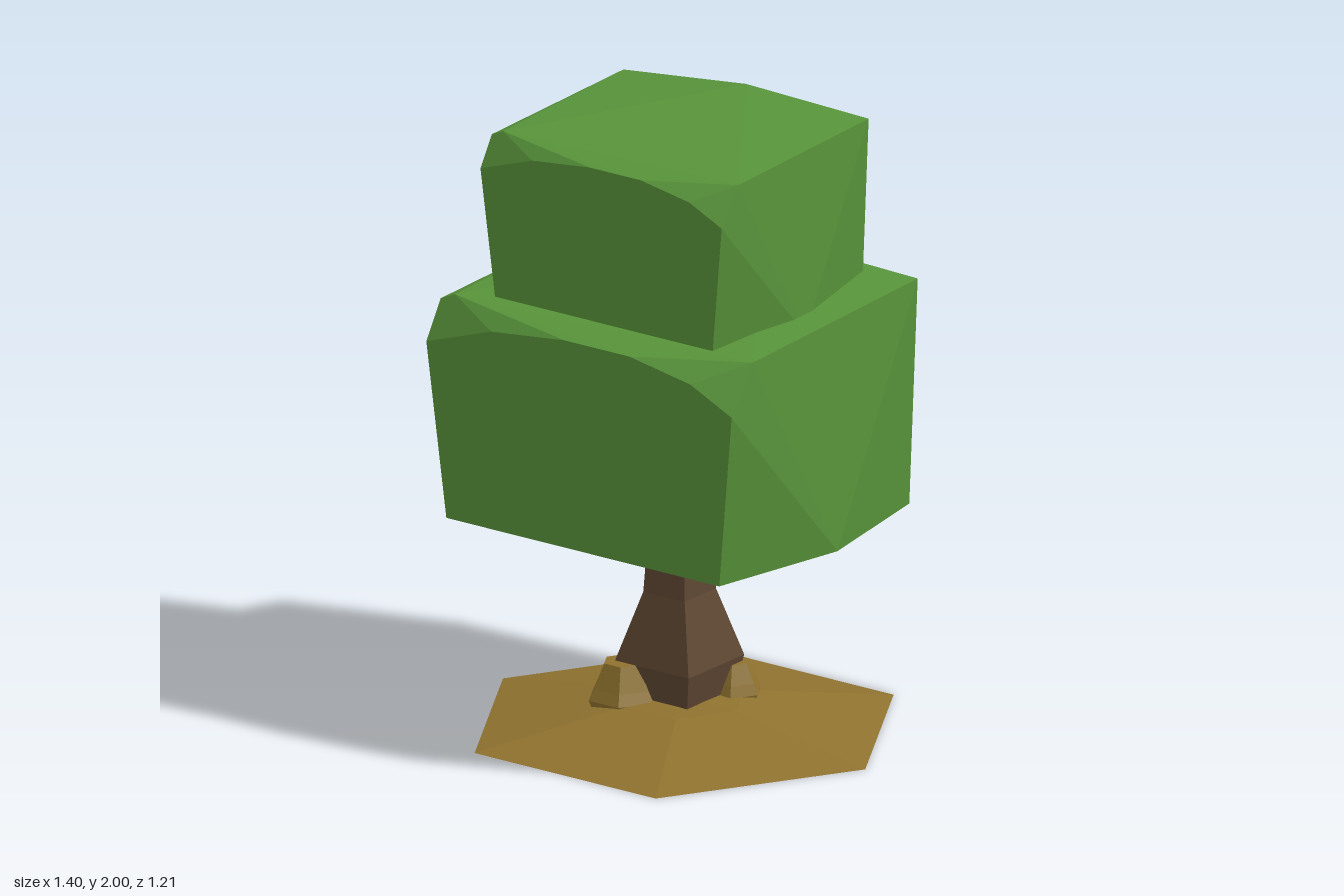
import * as THREE from 'three';
import { ConvexGeometry } from 'three/addons/geometries/ConvexGeometry.js';

const material = (name, color) => {
  const m = new THREE.MeshStandardMaterial({ color, side: THREE.DoubleSide });
  m.name = name;
  return m;
};

function part(name, geometry, mat) {
  const mesh = new THREE.Mesh(geometry, mat);
  mesh.name = name;
  return mesh;
}

// Faceted turned form from [radius, y] pairs, listed from the bottom up
function facetedLathe(profile, sides, turn) {
  const points = profile.map(([r, y]) => new THREE.Vector2(r, y));
  const g = new THREE.LatheGeometry(points, sides).toNonIndexed();
  g.rotateY(turn);
  g.computeVertexNormals();
  return g;
}

// Chamfered leaf block, open underneath
const BASE_Y = 0.68;
function leafGeometry() {
  const corners = [
    // lower rim, bulging in the middle of each side
    [-0.57, BASE_Y, 0.46], [0.485, BASE_Y, 0.46], [0.577, BASE_Y, -0.02],
    [0.485, BASE_Y, -0.508], [-0.05, BASE_Y, -0.508], [-0.57, BASE_Y, -0.487], [-0.622, BASE_Y, -0.02],
    // arched front edge
    [-0.63, 1.25, 0.483], [-0.37, 1.34, 0.495], [-0.08, 1.375, 0.503],
    [0.17, 1.375, 0.503], [0.4, 1.33, 0.495], [0.55, 1.25, 0.483],
    // upper rim and chamfers
    [-0.63, 1.37, 0.41], [-0.575, 1.395, 0.41], [0.55, 1.40, 0.375],
    [0.55, 1.44, -0.465], [-0.57, 1.37, -0.475], [-0.63, 1.25, -0.44],
    [-0.63, 1.37, -0.33], [-0.57, 1.435, -0.36],
    // crown
    [0, 1.485, -0.40],
  ];
  const hull = new ConvexGeometry(corners.map((c) => new THREE.Vector3(...c)));
  const p = hull.attributes.position;
  const kept = [];
  for (let i = 0; i < p.count; i += 3) {
    const tri = [i, i + 1, i + 2];
    if (tri.every((k) => p.getY(k) < BASE_Y + 0.001)) continue;
    tri.forEach((k) => kept.push(p.getX(k), p.getY(k), p.getZ(k)));
  }
  const g = new THREE.BufferGeometry();
  g.setAttribute('position', new THREE.Float32BufferAttribute(kept, 3));
  g.computeVertexNormals();
  return g;
}

export function createModel() {
  const leafGreen = material('leaf green', 0x58943a);
  const barkBrown = material('bark brown', 0x5f4733);
  const earthOchre = material('earth ochre', 0x8f722f);
  const tree = new THREE.Group();
  tree.name = 'tree';

  // Six-sided mound, open underneath
  tree.add(part('ground', facetedLathe([[0.7, 0], [0.2, 0.085], [0, 0.095]], 6, Math.PI / 2), earthOchre));

  // Square trunk with a flared foot; profile gives half widths
  const trunkProfile = [[0, 0.03], [0.05, 0.03], [0.12, 0.09], [0.142, 0.2], [0.08, 0.42], [0.065, 0.68], [0.08, 0.95], [0, 0.95]]
    .map(([half, y]) => [half * Math.SQRT2, y]);
  const trunk = part('trunk', facetedLathe(trunkProfile, 4, Math.PI / 4), barkBrown);
  trunk.position.set(-0.04, 0, -0.03);
  tree.add(trunk);

  // Rocks at the foot of the trunk: x, z, base radius, height
  [[-0.16, 0.1, 0.115, 0.2], [0.075, -0.155, 0.09, 0.18]].forEach(([x, z, r, h], i) => {
    const profile = [[0, 0.03], [r * 0.8, 0.03], [r, 0.085], [r * 0.85, 0.12], [r * 0.55, h], [0, h]];
    const rock = part(`rock${i + 1}`, facetedLathe(profile, 6, Math.PI / 6), earthOchre);
    rock.position.set(x, 0, z);
    tree.add(rock);
  });

  // Two stacked leaf blocks, the upper one smaller
  const leaves = leafGeometry();
  tree.add(part('lowerFoliage', leaves, leafGreen));
  const upper = part('upperFoliage', leaves, leafGreen);
  upper.scale.setScalar(0.79);
  upper.position.y = 2 - 1.485 * 0.79;
  tree.add(upper);

  return tree;
}
